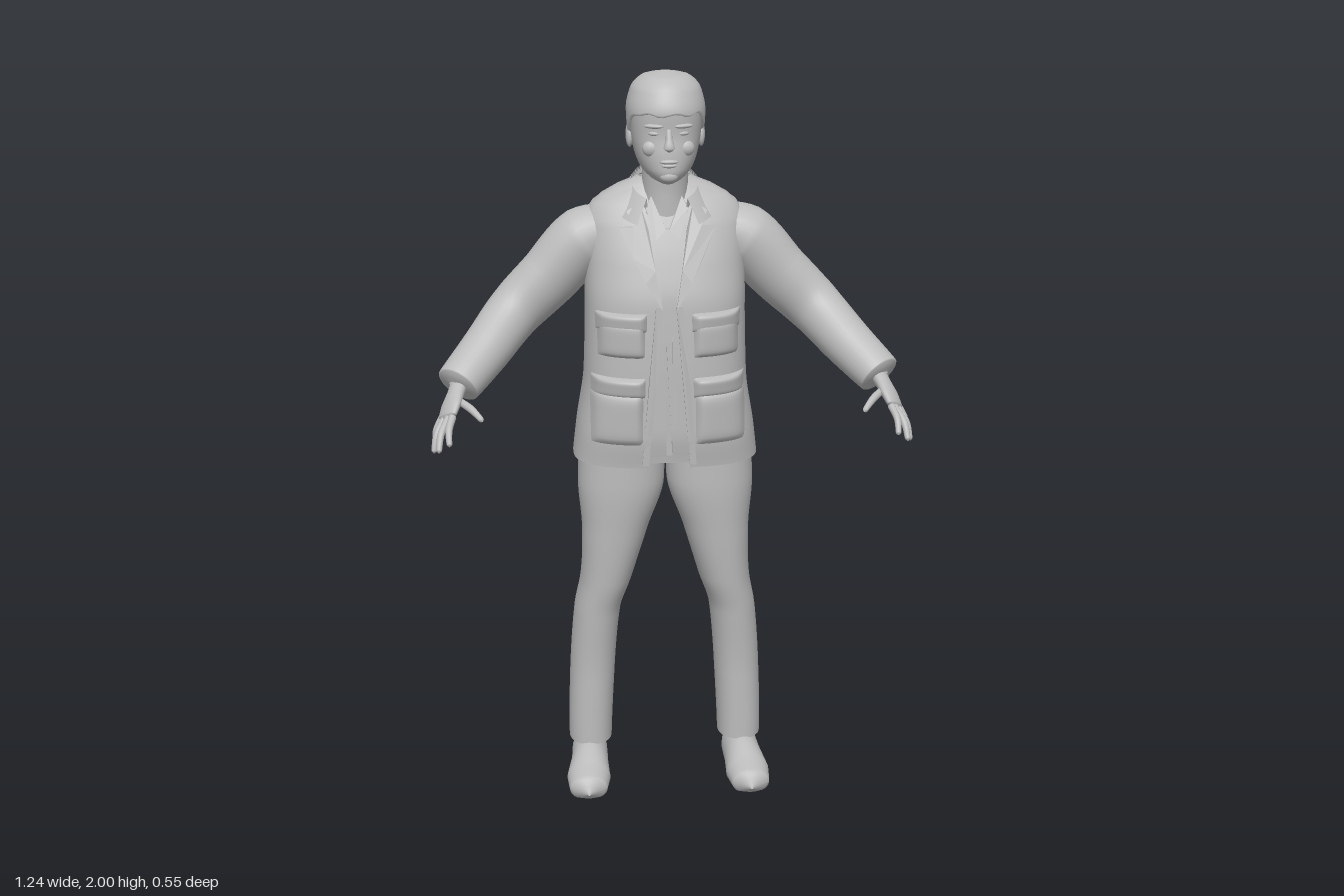
import * as THREE from 'three';
import { ParametricGeometry } from 'three/addons/geometries/ParametricGeometry.js';

const grey = new THREE.MeshStandardMaterial({ color: 0xbcbcbc, side: THREE.DoubleSide });
grey.name = 'plain grey';
const { lerp, smoothstep, clamp } = THREE.MathUtils;

// Section rows, listed upward: [y, centreX, halfWidth, centreZ, frontZ, backZ, squareness]
const JACKET = [
  [0.965, 0, 0.25, -0.09, 0.072, -0.272, 2.7], [1.05, 0, 0.24, -0.09, 0.083, -0.273, 2.7],
  [1.2, 0, 0.218, -0.09, 0.083, -0.266, 2.7], [1.4, 0, 0.213, -0.09, 0.075, -0.262, 2.6],
  [1.5, 0, 0.213, -0.1, 0.05, -0.258, 2.5], [1.6, 0, 0.213, -0.1, 0.01, -0.243, 2.4],
  [1.65, 0, 0.193, -0.1, -0.015, -0.222, 2.3], [1.685, 0, 0.14, -0.1, -0.035, -0.2, 2.2],
  [1.71, 0, 0.08, -0.1, -0.045, -0.17, 2]];
const LEG = [
  [0.088, 0.213, 0.03, -0.095, -0.06, -0.13, 2], [0.095, 0.213, 0.06, -0.095, -0.02, -0.172, 2.2],
  [0.3, 0.206, 0.063, -0.1, -0.02, -0.18, 2.2], [0.5, 0.19, 0.064, -0.095, -0.005, -0.19, 2.2],
  [0.6, 0.165, 0.071, -0.085, 0.01, -0.178, 2.2], [0.75, 0.14, 0.09, -0.07, 0.025, -0.17, 2.2],
  [0.9, 0.121, 0.118, -0.07, 0.035, -0.19, 2.2], [1.02, 0.118, 0.118, -0.08, 0.035, -0.22, 2.2]];
const HEAD = [
  [1.722, 0, 0.02, -0.01, 0.035, -0.04, 2], [1.735, 0, 0.045, -0.03, 0.057, -0.09, 2.1],
  [1.76, 0, 0.068, -0.045, 0.063, -0.12, 2.2], [1.8, 0, 0.083, -0.055, 0.061, -0.145, 2.3],
  [1.85, 0, 0.091, -0.055, 0.055, -0.16, 2.3], [1.9, 0, 0.094, -0.055, 0.057, -0.166, 2.2],
  [1.95, 0, 0.083, -0.055, 0.038, -0.15, 2.1], [1.98, 0, 0.055, -0.055, 0.005, -0.118, 2],
  [1.991, 0, 0.004, -0.055, -0.051, -0.059, 2]];
const NECK = [
  [1.58, 0, 0.09, -0.09, -0.01, -0.16, 2], [1.68, 0, 0.06, -0.075, -0.01, -0.14, 2],
  [1.78, 0, 0.06, -0.07, 0, -0.135, 2]];

// Smooth monotone interpolation of a row at height y
function at(rows, y) {
  let i = 0;
  while (i < rows.length - 2 && y > rows[i + 1][0]) i++;
  const slope = (j, k) => (rows[j + 1][k] - rows[j][k]) / (rows[j + 1][0] - rows[j][0]);
  const tangent = (j, k) => {
    if (j === 0) return slope(0, k);
    if (j === rows.length - 1) return slope(j - 1, k);
    const a = slope(j - 1, k), b = slope(j, k);
    return a * b <= 0 ? 0 : 2 * a * b / (a + b);
  };
  const h = rows[i + 1][0] - rows[i][0];
  const t = clamp((y - rows[i][0]) / h, 0, 1);
  return rows[i].map((p, k) => {
    const q = rows[i + 1][k];
    return p + t * t * (3 - 2 * t) * (q - p) + h * t * (1 - t) * ((1 - t) * tangent(i, k) - t * tangent(i + 1, k));
  });
}

// Point on a section at angle a (0 = front), pushed out by grow
function onSection(rows, y, a, target, grow = 0) {
  const [, cx, hw, zc, zf, zb, n] = at(rows, y);
  const s = Math.sin(a), c = Math.cos(a);
  const pow = (v) => Math.sign(v) * Math.abs(v) ** (2 / n);
  const rz = c > 0 ? zf - zc : zc - zb;
  return target.set(cx + (hw + grow) * pow(s), y, zc + (rz + grow) * pow(c));
}

// Front depth of the jacket at (x, y)
function jacketZ(x, y) {
  const [, , hw, zc, zf, , n] = at(JACKET, y);
  return zc + (zf - zc) * (1 - Math.min(1, Math.abs(x) / hw) ** n) ** (1 / n);
}

const surface = (fn, nu, nv) => new ParametricGeometry(fn, nu, nv);
const loft = (rows, nu, nv, grow = 0, ease = (v) => v) => surface((u, v, p) =>
  onSection(rows, lerp(rows[0][0], rows[rows.length - 1][0], ease(v)), u * Math.PI * 2, p, grow), nu, nv);

// Elliptical tube through points [x, y, z, radiusA, radiusB]
function sweep(points, ref, nu, nv) {
  const curve = new THREE.CatmullRomCurve3(points.map((p) => new THREE.Vector3(p[0], p[1], p[2])));
  const r = new THREE.Vector3(...ref);
  return surface((u, v, out) => {
    const f = v * (points.length - 1), i = Math.min(Math.floor(f), points.length - 2);
    const T = curve.getTangent(v), S = r.clone().cross(T).normalize(), U = T.clone().cross(S);
    const a = u * Math.PI * 2;
    out.copy(curve.getPoint(v))
      .addScaledVector(S, Math.cos(a) * lerp(points[i][3], points[i + 1][3], f - i))
      .addScaledVector(U, Math.sin(a) * lerp(points[i][4], points[i + 1][4], f - i));
  }, nu, nv);
}

// Thin cloth piece laid on the jacket front
function patch(outline, s, lift, depth = 0.008) {
  const shape = new THREE.Shape(outline.map(([x, y]) => new THREE.Vector2(x * s, y)));
  const geo = new THREE.ExtrudeGeometry(shape, { depth, bevelEnabled: false });
  const p = geo.attributes.position;
  for (let i = 0; i < p.count; i++) p.setZ(i, p.getZ(i) + jacketZ(p.getX(i), p.getY(i)) + lift);
  geo.computeVertexNormals();
  return geo;
}

// Puffed pocket with rounded edges following the jacket
function pocket(x, y, w, h, puff) {
  const geo = new THREE.PlaneGeometry(w, h, 14, 14);
  const p = geo.attributes.position;
  for (let i = 0; i < p.count; i++) {
    const a = clamp(2 * p.getX(i) / w, -1, 1), b = clamp(2 * p.getY(i) / h, -1, 1);
    const px = x + p.getX(i), py = y + p.getY(i);
    const rise = ((1 - a ** 6) * (1 - b ** 6)) ** 0.6 * (1 + 0.25 * b);
    p.setXYZ(i, px, py, jacketZ(px, py) - 0.003 + puff * rise);
  }
  geo.computeVertexNormals();
  return geo;
}

export function createModel() {
  const model = new THREE.Group();
  const add = (name, geo) => {
    const mesh = new THREE.Mesh(geo, grey);
    mesh.name = name;
    model.add(mesh);
    return mesh;
  };
  const blob = (name, x, y, z, rx, ry, rz) => {
    const mesh = add(name, new THREE.SphereGeometry(1, 16, 12));
    mesh.position.set(x, y, z);
    mesh.scale.set(rx, ry, rz);
    return mesh;
  };

  // Head, neck and hair
  add('head', loft(HEAD, 40, 40, 0, (v) => (1 - Math.cos(v * Math.PI)) / 2));
  add('neck', loft(NECK, 28, 8));
  add('hair', surface((u, v, p) => {
    const a = u * Math.PI * 2;
    const low = lerp(1.775, 1.897, smoothstep(Math.cos(a), -0.6, 0.65)) + 0.004 * Math.sin(a * 9);
    const grow = v === 0 ? -0.002 : 0.008 - 0.011 * v ** 12;
    onSection(HEAD, lerp(low, 1.991, Math.sin(v * Math.PI / 2)), a, p, grow);
    p.y += 0.009 * v;
  }, 48, 20));
  add('nose', sweep([[0, 1.865, 0.05, 0.007, 0.006], [0, 1.84, 0.058, 0.009, 0.01],
    [0, 1.82, 0.064, 0.015, 0.012], [0, 1.811, 0.06, 0.004, 0.004]], [0, 0, 1], 14, 12));
  blob('upperLip', 0, 1.784, 0.059, 0.024, 0.006, 0.009);
  blob('lowerLip', 0, 1.774, 0.058, 0.02, 0.006, 0.009);
  blob('chin', 0, 1.745, 0.05, 0.024, 0.016, 0.014);

  // Shirt, and jacket shell open down the front
  add('shirt', loft(JACKET.map((r) => [r[0] + 0.01, ...r.slice(1)]), 48, 30, -0.012));
  add('jacket', surface((u, v, p) => {
    const y = lerp(0.965, 1.71, v), r = at(JACKET, y);
    const gap = y < 1.42 ? lerp(0.055, 0.018, (y - 0.965) / 0.455) : lerp(0.018, 0.065, (y - 1.42) / 0.29);
    const a = Math.asin(Math.min(1, gap / r[2]) ** (r[6] / 2));
    onSection(JACKET, y, lerp(a, Math.PI * 2 - a, u), p);
  }, 64, 40));
  add('shirtPlacket', patch([[-0.008, 1.0], [0.008, 1.0], [0.008, 1.3], [0.008, 1.6], [-0.008, 1.6], [-0.008, 1.3]], 1, -0.012, 0.005));

  // Folded collar, lower at the front
  add('collar', surface((u, v, p) => {
    const a = lerp(2.5, -2.5, u), front = (1 - Math.cos(a)) / 2;
    const fold = Math.min(1, 2 - v * 2), drop = Math.max(0, 1 - v * 2);
    const r = 0.078 + 0.01 * fold + 0.045 * drop;
    const y = lerp(1.69, 1.745, fold) - 0.062 * drop - 0.075 * front;
    p.set(Math.sin(a) * r, y, -0.09 - Math.cos(a) * (r + 0.003) + 0.012 * front);
  }, 40, 10));

  for (const s of [1, -1]) {
    const side = s > 0 ? 'left' : 'right';
    const flip = (pts) => pts.map(([x, ...rest]) => [x * s, ...rest]);

    // Face details
    blob(side + 'Ear', 0.093 * s, 1.835, -0.062, 0.01, 0.033, 0.02).rotation.x = -0.2;
    blob(side + 'Brow', 0.038 * s, 1.873, 0.046, 0.026, 0.006, 0.01).rotation.y = 0.35 * s;
    blob(side + 'Eye', 0.037 * s, 1.854, 0.043, 0.016, 0.006, 0.009).rotation.y = 0.35 * s;
    blob(side + 'Cheek', 0.042 * s, 1.815, 0.036, 0.025, 0.022, 0.017);

    // Jacket details
    add(side + 'Lapel', patch([[0.018, 1.4], [0.06, 1.47], [0.09, 1.53], [0.125, 1.605], [0.088, 1.607],
      [0.105, 1.645], [0.07, 1.665], [0.05, 1.6], [0.035, 1.5]], s, 0.003));
    add(side + 'ShirtCollar', patch([[0.005, 1.6], [0.03, 1.575], [0.055, 1.65], [0.04, 1.68]], s, 0));
    add(side + 'FrontEdge', patch([[0.055, 0.975], [0.072, 0.975], [0.055, 1.2], [0.035, 1.41], [0.018, 1.41], [0.035, 1.2]], s, 0, 0.006));
    add(side + 'UpperPocket', pocket(0.125 * s, 1.32, 0.125, 0.1, 0.02));
    add(side + 'UpperFlap', pocket(0.125 * s, 1.365, 0.135, 0.05, 0.024));
    add(side + 'LowerPocket', pocket(0.138 * s, 1.105, 0.14, 0.15, 0.02));
    add(side + 'LowerFlap', pocket(0.134 * s, 1.19, 0.145, 0.055, 0.024));

    // Sleeve
    add(side + 'Sleeve', sweep(flip([[0.11, 1.575, -0.105, 0.07, 0.07], [0.21, 1.55, -0.105, 0.085, 0.09],
      [0.31, 1.45, -0.1, 0.075, 0.084], [0.4, 1.365, -0.08, 0.071, 0.077], [0.48, 1.285, 0.012, 0.066, 0.067],
      [0.55, 1.222, 0.1, 0.06, 0.056], [0.556, 1.216, 0.107, 0.02, 0.02]]), [0, 1, 0.3], 28, 48));

    // Hand with fingers
    const palmUp = [0.6 * s, 0.6, 0.15];
    add(side + 'Palm', sweep(flip([[0.545, 1.225, 0.09, 0.026, 0.022], [0.557, 1.205, 0.13, 0.028, 0.019],
      [0.568, 1.185, 0.16, 0.037, 0.017], [0.578, 1.163, 0.186, 0.036, 0.013], [0.581, 1.157, 0.193, 0.01, 0.004]]), palmUp, 20, 20));
    const fingers = {
      Index: [[0.565, 1.168, 0.208], [0.574, 1.145, 0.248], [0.573, 1.115, 0.273]],
      Middle: [[0.575, 1.162, 0.193], [0.595, 1.13, 0.235], [0.6, 1.095, 0.26]],
      Ring: [[0.584, 1.158, 0.176], [0.607, 1.12, 0.207], [0.614, 1.082, 0.222]],
      Little: [[0.59, 1.157, 0.16], [0.609, 1.12, 0.172], [0.612, 1.088, 0.178]],
      Thumb: [[0.55, 1.195, 0.155], [0.517, 1.185, 0.2], [0.491, 1.167, 0.235]],
    };
    for (const [name, [a, b, c]] of Object.entries(fingers)) {
      const tip = c.map((v, k) => v + (v - b[k]) * 0.12);
      add(side + name, sweep(flip([[...a, 0.01, 0.01], [...b, 0.01, 0.009], [...c, 0.007, 0.007], [...tip, 0.001, 0.001]]), palmUp, 12, 14));
    }

    // Trouser leg
    add(side + 'TrouserLeg', loft(LEG.map((r) => [r[0], r[1] * s, ...r.slice(2)]), 32, 60));

    // Shoe, flattened on the ground
    const shoe = sweep(flip([[0.215, 0.045, -0.174, 0.004, 0.004], [0.215, 0.047, -0.162, 0.036, 0.05],
      [0.216, 0.05, -0.1, 0.05, 0.066], [0.219, 0.046, -0.03, 0.052, 0.064], [0.225, 0.034, 0.04, 0.061, 0.05],
      [0.228, 0.028, 0.1, 0.052, 0.038], [0.228, 0.024, 0.126, 0.004, 0.004]]), [0, 1, 0], 28, 36);
    const p = shoe.attributes.position;
    for (let i = 0; i < p.count; i++) p.setY(i, Math.max(0, p.getY(i)));
    shoe.computeVertexNormals();
    add(side + 'Shoe', shoe);
  }
  return model;
}
